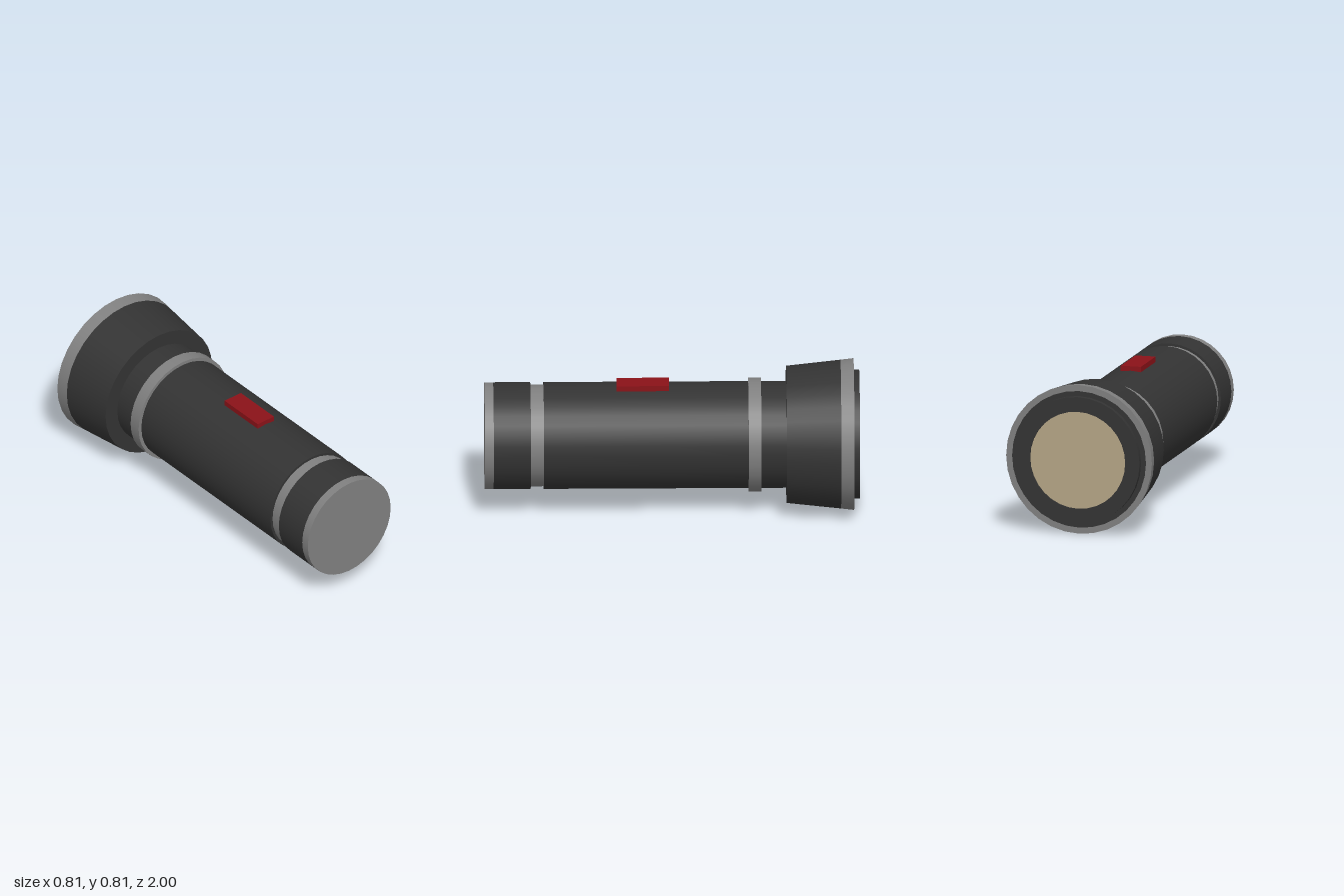
import * as THREE from 'three';

const AXIS_Y = 0.408;
const mat = (color) => new THREE.MeshStandardMaterial({ color });

export function createModel() {
  const group = new THREE.Group();
  const black = mat(0x333333);
  const grey = mat(0x808080);
  const red = mat(0x8a1218);
  const glass = mat(0xb5a585);

  // Turned part around the z axis: [radius, z] points from lens end to tail, every corner sharp
  const turned = (name, material, points) => {
    const profile = points.flatMap(([r, z], i) => {
      const p = new THREE.Vector2(r, z);
      return i > 0 && i < points.length - 1 ? [p, p.clone()] : [p];
    });
    const geometry = new THREE.LatheGeometry(profile, 32).rotateX(Math.PI / 2);
    const mesh = new THREE.Mesh(geometry, material);
    mesh.name = name;
    mesh.position.y = AXIS_Y;
    group.add(mesh);
  };

  // Lens end
  turned('lens', glass, [[0, -0.99], [0.265, -0.99]]);
  turned('bezel', black, [[0.265, -0.99], [0.265, -1], [0.345, -1], [0.345, -0.97], [0.372, -0.97]]);
  turned('headRim', grey, [[0.372, -0.97], [0.405, -0.97], [0.397, -0.9]]);
  turned('head', black, [[0.397, -0.9], [0.366, -0.61], [0.285, -0.61]]);

  // Barrel with its raised collar
  turned('neck', black, [[0.285, -0.61], [0.285, -0.475]]);
  turned('collar', grey, [[0.285, -0.475], [0.304, -0.475], [0.304, -0.407], [0.285, -0.407]]);
  turned('barrel', black, [[0.285, -0.407], [0.285, 0.685], [0.271, 0.685]]);

  // Tail cap behind a shallow groove
  turned('groove', grey, [[0.271, 0.685], [0.271, 0.755]]);
  turned('tailCap', black, [[0.271, 0.755], [0.285, 0.755], [0.285, 0.953]]);
  turned('tailEnd', grey, [[0.285, 0.953], [0.285, 1], [0, 1]]);

  // Slide switch on top of the barrel
  const button = new THREE.Mesh(new THREE.BoxGeometry(0.112, 0.032, 0.28), red);
  button.name = 'switchButton';
  button.position.set(0, 0.701, 0.155);
  group.add(button);

  return group;
}
